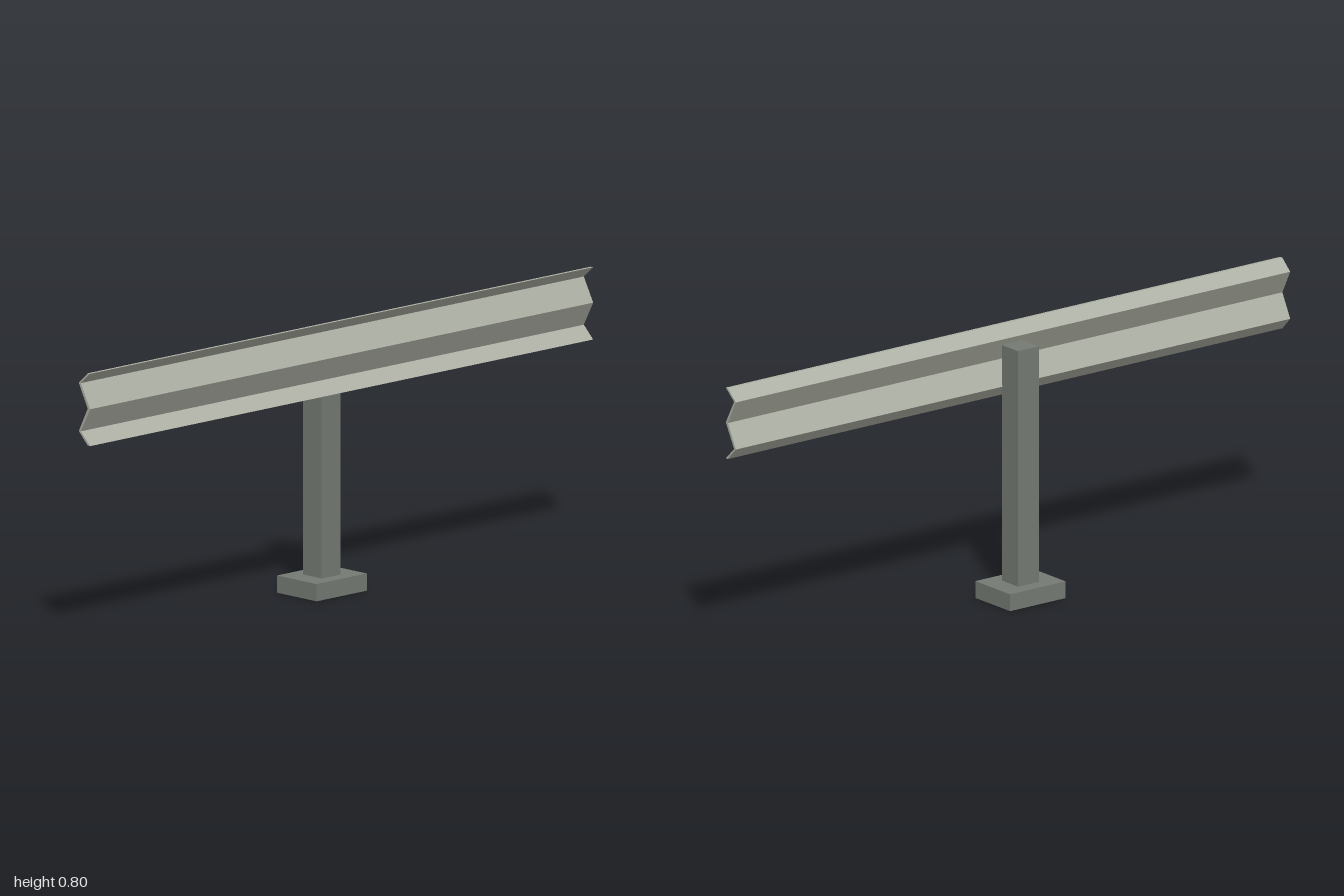
import * as THREE from 'three';

export function createModel() {
  const group = new THREE.Group();
  const railMetal = new THREE.MeshStandardMaterial({ name: 'pale rail metal', color: 0xadb0a4 });
  const postGrey = new THREE.MeshStandardMaterial({ name: 'dark post grey', color: 0x747a73 });

  const add = (name, geometry, material, y = 0) => {
    const mesh = new THREE.Mesh(geometry, material);
    mesh.name = name;
    mesh.position.y = y;
    group.add(mesh);
  };

  // Footing and upright post
  add('basePlate', new THREE.BoxGeometry(0.2, 0.05, 0.16), postGrey, 0.025);
  add('post', new THREE.BoxGeometry(0.075, 0.7, 0.075), postGrey, 0.4);

  // Folded W-shaped rail: back line of the section as (z, y), thickened forwards
  const back = [[0.07, 0.59], [0.034, 0.627], [0.07, 0.697], [0.034, 0.767], [0.07, 0.8]];
  const thickness = [0.01, 0.008, 0.01, 0.008, 0.01];
  const front = back.map(([z, y], i) => [z + thickness[i], y]);
  const section = new THREE.Shape(
    [...front, ...back.slice().reverse()].map(([z, y]) => new THREE.Vector2(z, y))
  );
  const rail = new THREE.ExtrudeGeometry(section, { depth: 2, bevelEnabled: false });
  rail.translate(0, 0, -1).rotateY(-Math.PI / 2);
  add('rail', rail, railMetal);

  return group;
}
